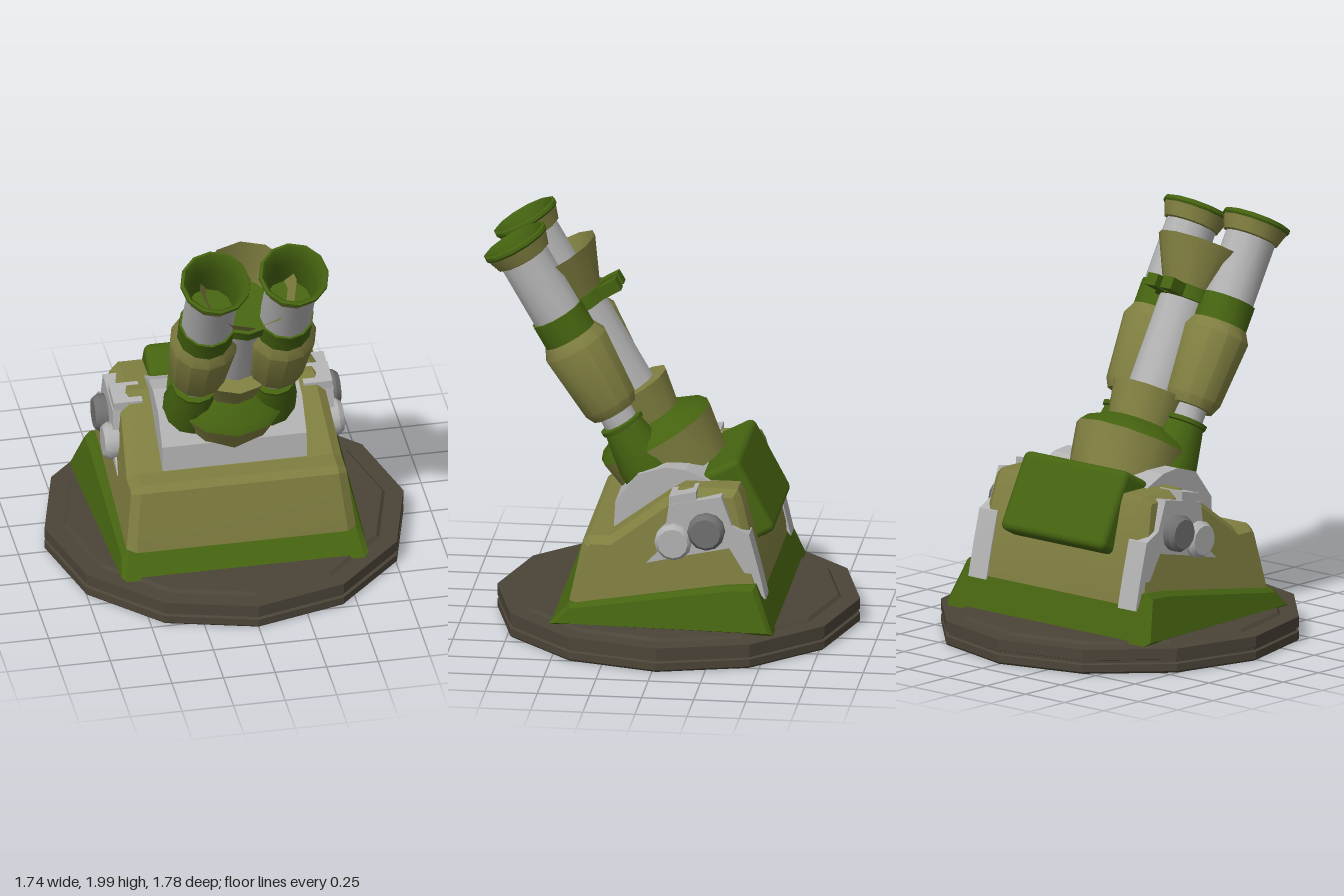
import * as THREE from 'three';
import { toCreasedNormals } from 'three/addons/utils/BufferGeometryUtils.js';
import { RoundedBoxGeometry } from 'three/addons/geometries/RoundedBoxGeometry.js';

const paint = (name, color, side = THREE.FrontSide) => {
  const m = new THREE.MeshStandardMaterial({ color, side });
  m.name = name;
  return m;
};

export function createModel() {
  const green = paint('green', 0x456310, THREE.DoubleSide);
  const khaki = paint('khaki', 0x7f7e40, THREE.DoubleSide);
  const grey = paint('light grey', 0xb2b2b2);
  const darkGrey = paint('dark grey', 0x707070);
  const brown = paint('dark brown', 0x4b4438);

  const model = new THREE.Group();
  model.name = 'mountedBinocular';

  const add = (parent, name, geometry, material) => {
    const mesh = new THREE.Mesh(geometry, material);
    mesh.name = name;
    parent.add(mesh);
    return mesh;
  };

  // Turned part from [radius, height] pairs, listed bottom to top
  const turned = (profile, sides = 12, crease = 0.6) => toCreasedNormals(
    new THREE.LatheGeometry(profile.map(([r, y]) => new THREE.Vector2(r, y)), sides), crease);

  // Side profile of [z, y] pairs extruded across x; halfWidth(y, z) tapers it
  const slab = (profile, x0, x1, bevel = 0, halfWidth = null) => {
    const shape = new THREE.Shape(profile.map(([z, y]) => new THREE.Vector2(z, y)));
    const width = x1 - x0;
    const g = new THREE.ExtrudeGeometry(shape, {
      depth: width - 2 * bevel, bevelEnabled: bevel > 0, bevelThickness: bevel,
      bevelSize: bevel * 0.8, bevelOffset: -bevel * 0.8, bevelSegments: 1,
    });
    g.translate(0, 0, bevel - width / 2);
    g.rotateY(-Math.PI / 2);
    g.translate((x0 + x1) / 2, 0, 0);
    if (halfWidth) {
      const p = g.attributes.position;
      for (let i = 0; i < p.count; i++) {
        p.setX(i, p.getX(i) * halfWidth(p.getY(i), p.getZ(i)) / x1);
      }
    }
    return toCreasedNormals(g, 0.3);
  };

  // Twelve-sided ground plate with a groove round its edge
  add(model, 'basePlate', turned([
    [0, 0.005], [0.86, 0.005], [0.87, 0.015], [0.87, 0.05], [0.855, 0.055], [0.855, 0.068],
    [0.87, 0.073], [0.87, 0.125], [0.78, 0.127], [0.765, 0.142], [0, 0.142],
  ], 12, 0.2), brown).position.z = -0.02;

  // Housing: sloping skirt, main body and rear pack
  add(model, 'skirt', slab(
    [[0.53, 0.13], [0.44, 0.23], [-0.32, 0.35], [-0.46, 0.36], [-0.55, 0.13]],
    -0.6, 0.6, 0.025, (y, z) => 0.65 - 0.27 * (y - 0.14) - 0.05 * (z + 0.5)), green);
  add(model, 'body', slab([
    [0.45, 0.14], [0.44, 0.23], [0.38, 0.52], [0.35, 0.55], [0.25, 0.55],
    [-0.02, 0.75], [-0.1, 0.8], [-0.36, 0.8], [-0.38, 0.76], [-0.48, 0.36], [-0.5, 0.14],
  ], -0.5, 0.5, 0.04, (y) => 0.56 - 0.12 * (y - 0.2)), khaki);
  const pack = add(model, 'rearPack', new RoundedBoxGeometry(0.66, 0.4, 0.2, 2, 0.035), green);
  pack.position.set(0, 0.685, -0.345);
  pack.rotation.x = 0.487;

  // Cradle block under the optics
  add(model, 'cradle', slab([
    [0.25, 0.5], [0.24, 0.68], [0.13, 0.82], [0, 0.86], [-0.1, 0.85], [-0.24, 0.79], [-0.27, 0.55],
  ], -0.35, 0.35), grey);

  // Side brackets with their adjusting knobs
  for (const s of [1, -1]) {
    const across = (a, b) => (s > 0 ? [a, b] : [-b, -a]);
    const bracket = new THREE.Group();
    bracket.name = s > 0 ? 'leftBracket' : 'rightBracket';
    model.add(bracket);
    add(bracket, 'bracketPlate', slab([
      [-0.04, 0.735], [-0.29, 0.785], [-0.35, 0.62], [-0.47, 0.4], [-0.5, 0.28],
      [-0.42, 0.38], [-0.33, 0.53], [-0.1, 0.48], [0.07, 0.44], [-0.01, 0.52],
    ], ...across(0.47, 0.535)), grey);
    add(bracket, 'bracketLeg', slab(
      [[-0.3, 0.66], [-0.425, 0.6], [-0.47, 0.43], [-0.505, 0.28], [-0.44, 0.36]],
      ...across(0.42, 0.535)), grey);
    add(bracket, 'bracketLip', slab(
      [[-0.04, 0.7], [-0.04, 0.775], [-0.17, 0.805], [-0.17, 0.7]],
      ...across(0.39, 0.53)), grey);
    const knob = (name, y, z, reach, material) => {
      const m = add(bracket, name, turned(
        [[0, 0.49], [0.088, 0.49], [0.09, reach - 0.025], [0.072, reach], [0, reach]]), material);
      m.rotation.z = -s * Math.PI / 2;
      m.position.set(0, y, z);
    };
    knob('frontKnob', 0.555, -0.063, 0.58, grey);
    knob('rearKnob', 0.615, -0.222, 0.595, darkGrey);
  }

  // Optics lean forward; inside this group their axis is y
  const optics = new THREE.Group();
  optics.name = 'optics';
  optics.position.set(0, 0.789, 0.095);
  optics.rotation.x = Math.PI / 6;
  model.add(optics);

  // Central column, ending in an open flared funnel
  const column = new THREE.Group();
  column.name = 'column';
  column.position.z = -0.07;
  optics.add(column);
  add(column, 'columnBase', turned([[0, -0.1], [0.265, -0.1], [0.3, 0.11]]), khaki);
  add(column, 'columnShoulder', turned([[0.3, 0.11], [0.27, 0.145], [0.16, 0.2]]), green);
  add(column, 'columnCollar', turned([[0.165, 0.17], [0.2, 0.36], [0.12, 0.365]]), khaki);
  add(column, 'columnTube', turned([[0.13, 0.35], [0.13, 0.86]]), grey);
  add(column, 'columnRing', turned(
    [[0.13, 0.82], [0.155, 0.82], [0.155, 0.885], [0, 0.885]]), green);
  add(column, 'funnel', turned([[0.135, 0.88], [0.235, 1.1]]), khaki);
  for (const x of [-0.05, 0.05]) {
    add(column, 'ringLug', new THREE.BoxGeometry(0.065, 0.06, 0.1), green)
      .position.set(x, 0.85, -0.18);
  }

  // Twin eyepieces
  for (const s of [1, -1]) {
    const eye = new THREE.Group();
    eye.name = s > 0 ? 'leftEyepiece' : 'rightEyepiece';
    eye.position.x = s * 0.19;
    optics.add(eye);
    add(eye, 'eyeFoot', turned([[0, -0.12], [0.13, -0.12], [0.135, 0.06], [0.1, 0.25]]), green);
    add(eye, 'eyeFootRing', turned(
      [[0.09, 0.25], [0.11, 0.255], [0.112, 0.275], [0.085, 0.28]]), green);
    add(eye, 'eyeNeck', turned([[0.085, 0.26], [0.085, 0.36]]), grey);
    add(eye, 'eyeBarrel', turned(
      [[0.08, 0.34], [0.115, 0.34], [0.138, 0.385], [0.165, 0.71], [0.132, 0.77]]), khaki);
    add(eye, 'eyeBand', turned([[0.135, 0.765], [0.135, 0.89], [0.12, 0.892]]), green);
    add(eye, 'eyeTube', turned([[0.125, 0.88], [0.125, 1.22]]), grey);
    add(eye, 'eyeCollar', turned([[0.125, 1.205], [0.138, 1.21], [0.163, 1.28]]), khaki);
    add(eye, 'eyeCup', turned([
      [0.162, 1.275], [0.17, 1.285], [0.168, 1.3], [0.155, 1.305], [0.138, 1.28],
      [0.118, 1.2], [0.112, 1.02], [0, 1.02],
    ]), green);
  }

  return model;
}
